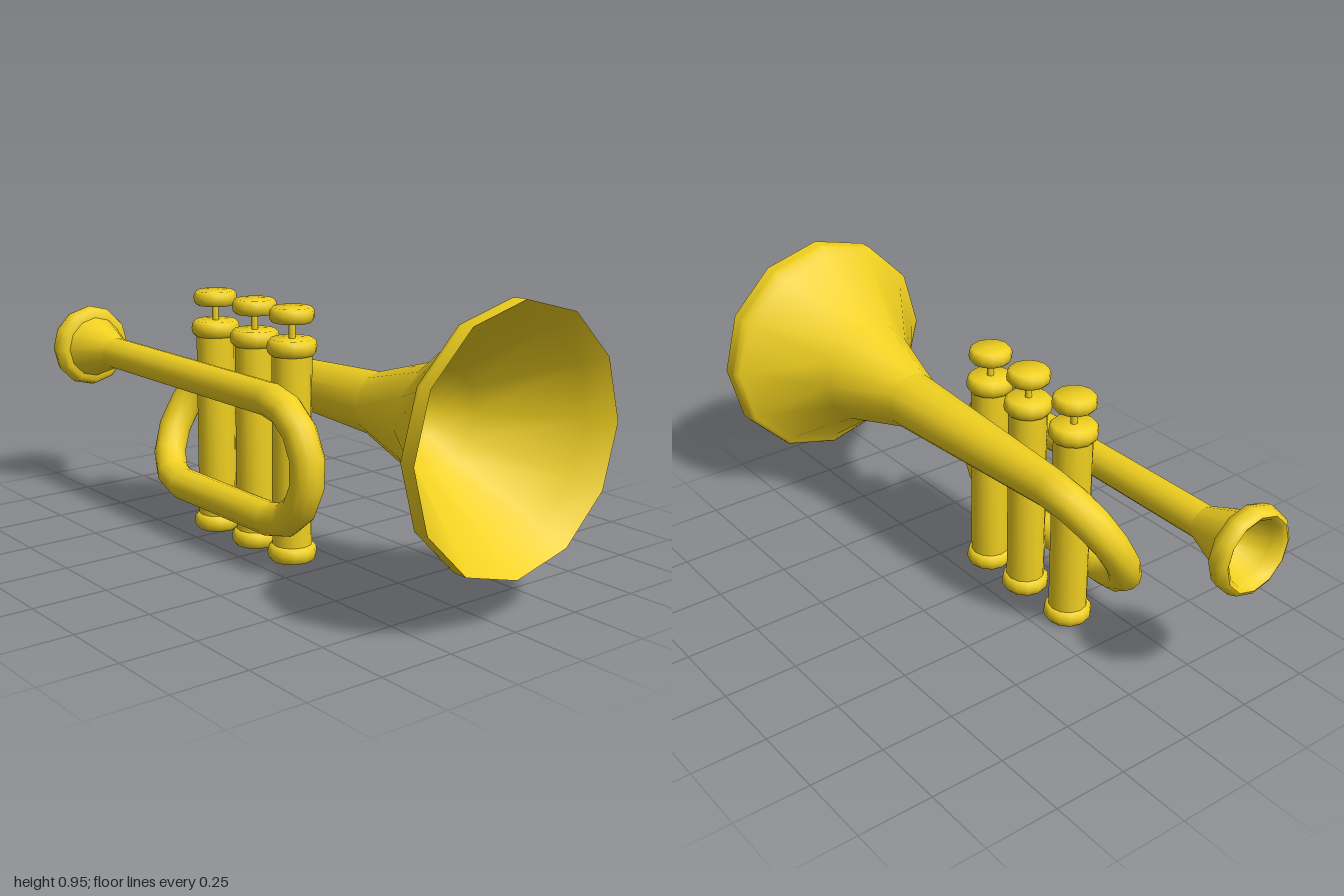
import * as THREE from 'three';
import { toCreasedNormals } from 'three/addons/utils/BufferGeometryUtils.js';

const SIDES = 12;
const AXIS_Y = 0.555;   // height of bell and mouthpiece axes
const LOW_Y = 0.165;    // height of the lower tube
const PIPE_X = -0.235;  // lead pipe offset
const brass = new THREE.MeshStandardMaterial({ color: 0xf0d020, side: THREE.DoubleSide });

function mesh(name, geometry) {
  const m = new THREE.Mesh(geometry, brass);
  m.name = name;
  return m;
}

// Turned part from [radius, height] pairs
function turned(name, profile, alongZ = false) {
  const g = new THREE.LatheGeometry(profile.map(([r, h]) => new THREE.Vector2(r, h)), SIDES);
  if (alongZ) g.rotateX(Math.PI / 2);
  return mesh(name, toCreasedNormals(g, 0.9));
}

// Rounded disc profile
function disc(r, y0, y1) {
  const h = y1 - y0;
  return [[0, y0], [r * 0.86, y0], [r * 0.97, y0 + h * 0.2], [r, y0 + h * 0.5],
    [r * 0.97, y0 + h * 0.8], [r * 0.86, y1], [0, y1]];
}

// Tube of varying radius through [x, y, z, radius] stations
function sweep(name, stations) {
  const pts = stations.map(([x, y, z]) => new THREE.Vector3(x, y, z));
  const position = [], index = [];
  const last = pts.length - 1;
  pts.forEach((p, i) => {
    const before = pts[i].clone().sub(pts[Math.max(i - 1, 0)]).normalize();
    const after = pts[Math.min(i + 1, last)].clone().sub(p).normalize();
    const t = before.add(after).normalize();
    const a = new THREE.Vector3(1, 0, 0).addScaledVector(t, -t.x).normalize();
    const b = t.clone().cross(a);
    for (let j = 0; j < SIDES; j++) {
      const angle = (j / SIDES) * Math.PI * 2;
      const v = p.clone()
        .addScaledVector(a, Math.cos(angle) * stations[i][3])
        .addScaledVector(b, Math.sin(angle) * stations[i][3]);
      position.push(v.x, v.y, v.z);
      if (i < last) {
        const k = (j + 1) % SIDES, r0 = i * SIDES, r1 = r0 + SIDES;
        index.push(r0 + j, r0 + k, r1 + j, r0 + k, r1 + k, r1 + j);
      }
    }
  });
  const g = new THREE.BufferGeometry();
  g.setAttribute('position', new THREE.Float32BufferAttribute(position, 3));
  g.setIndex(index);
  g.computeVertexNormals();
  return mesh(name, g);
}

export function createModel() {
  const model = new THREE.Group();
  model.name = 'trumpet';

  // Flared bell with rim band and hollow inside
  const bell = turned('bell', [
    [0.1, 0.4], [0.18, 0.67], [0.36, 0.925], [0.385, 0.932], [0.398, 0.945], [0.4, 0.96],
    [0.4, 1], [0.345, 0.93], [0.155, 0.66], [0.08, 0.58], [0, 0.56],
  ], true);
  bell.position.y = AXIS_Y;
  model.add(bell);

  // Main tubing: bell neck, rear bend, lower run, front bend, lead pipe
  const mid = (AXIS_Y + LOW_Y) / 2, bend = (AXIS_Y - LOW_Y) / 2, steps = 7;
  const path = [[0, AXIS_Y, 0.4, 0.1]];
  for (let i = 0; i <= steps; i++) {
    const t = (i / steps) * Math.PI;
    path.push([PIPE_X / 2 * (1 - Math.cos(t)), mid + bend * Math.cos(t),
      -0.35 - bend * Math.sin(t), 0.065 - 0.01 * Math.min(1, 2 * i / steps)]);
  }
  for (let i = 0; i <= steps; i++) {
    const t = (i / steps) * Math.PI;
    path.push([PIPE_X, mid - bend * Math.cos(t), 0.15 + bend * Math.sin(t), 0.055]);
  }
  path.push([PIPE_X, AXIS_Y, -0.78, 0.055]);
  model.add(sweep('tubing', path));

  // Mouthpiece with rounded rim and hollow cup
  const mouthpiece = turned('mouthpiece', [
    [0, -0.82], [0.05, -0.85], [0.1, -0.96], [0.11, -0.99], [0.125, -1], [0.138, -0.993],
    [0.147, -0.965], [0.138, -0.935], [0.125, -0.927], [0.108, -0.925], [0.055, -0.78],
  ], true);
  mouthpiece.position.set(PIPE_X, AXIS_Y, 0);
  model.add(mouthpiece);

  // Three piston valves
  for (const z of [0.115, -0.085, -0.31]) {
    const valve = new THREE.Group();
    valve.name = 'valve';
    valve.position.set(-0.12, 0, z);
    valve.add(
      turned('valveCasing', [[0, 0.03], [0.065, 0.03], [0.065, 0.7], [0, 0.7]]),
      turned('bottomCap', disc(0.081, 0, 0.053)),
      turned('topCap', disc(0.081, 0.677, 0.73)),
      turned('stem', [[0.011, 0.72], [0.011, 0.79]]),
      turned('button', disc(0.073, 0.782, 0.83)),
    );
    model.add(valve);
  }
  return model;
}
